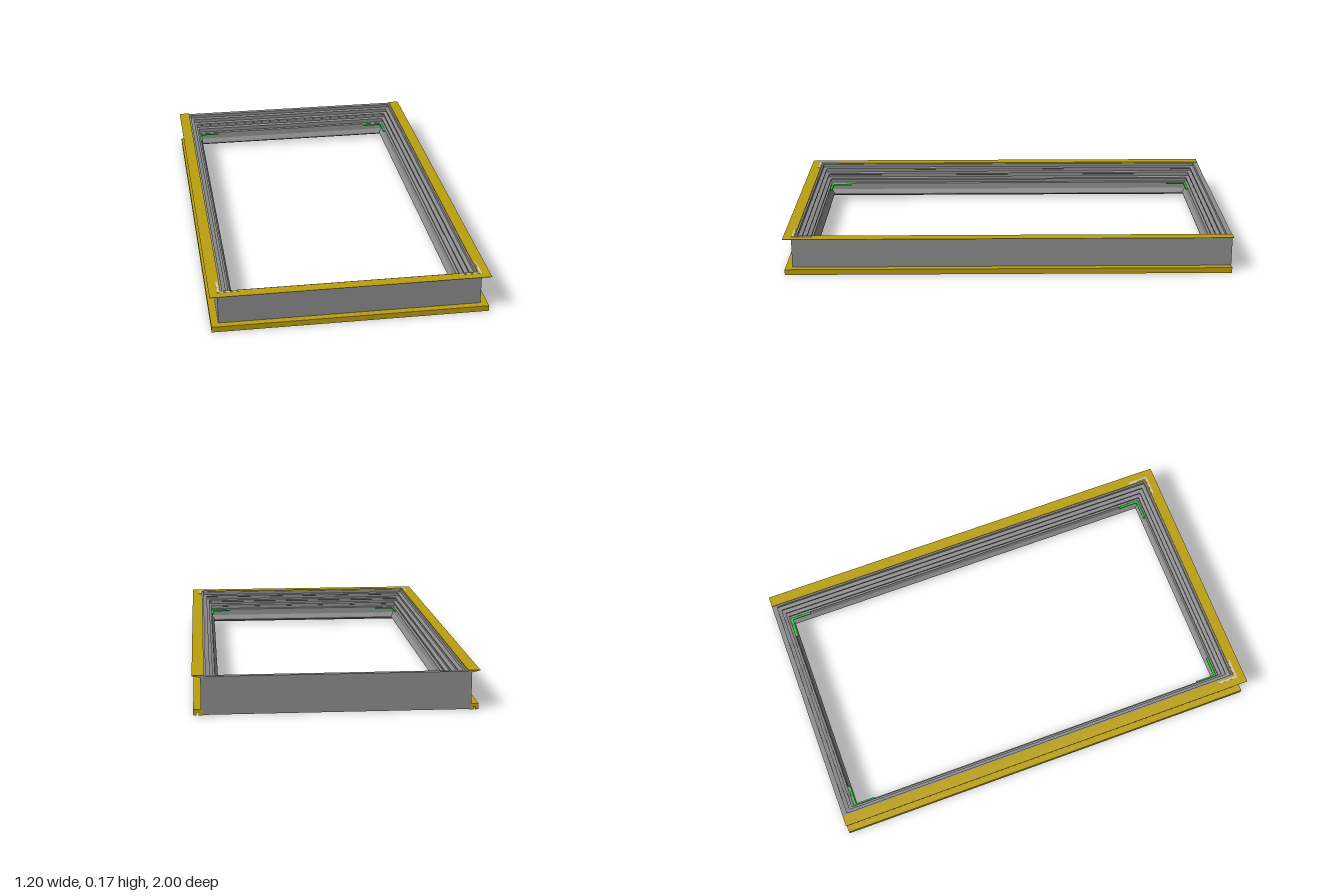
import * as THREE from 'three';

const HALF_W = 0.6, FRONT = 1, BACK = -1;
const mat = (color) => new THREE.MeshStandardMaterial({ color, side: THREE.DoubleSide, flatShading: true });

// Sweep a cross-section of [inset, height] points round the mitred frame.
// A closed sweep makes four bars; an open one leaves out the back bar and cuts the ends square.
function sweep(profile, closed) {
  const corners = [
    [-1, 0], [-1, 1], [1, 1], [1, 0],
  ].map(([sx, front]) => profile.map(([d, y]) => new THREE.Vector3(
    sx * (HALF_W - d), y, front ? FRONT - d : closed ? BACK - 0.035 + d : BACK)));
  const pos = [];
  const tri = (a, b, c) => pos.push(...a.toArray(), ...b.toArray(), ...c.toArray());
  const n = profile.length;
  for (let k = 0; k < (closed ? 4 : 3); k++) {
    const A = corners[k], B = corners[(k + 1) % 4];
    for (let i = 0; i < n; i++) {
      const j = (i + 1) % n;
      tri(A[i], B[j], B[i]);
      tri(A[i], A[j], B[j]);
    }
  }
  if (!closed) {
    const faces = THREE.ShapeUtils.triangulateShape(profile.map(([d, y]) => new THREE.Vector2(d, y)), []);
    for (const [a, b, c] of faces) {
      tri(corners[0][a], corners[0][c], corners[0][b]);
      tri(corners[3][a], corners[3][b], corners[3][c]);
    }
  }
  const geo = new THREE.BufferGeometry();
  geo.setAttribute('position', new THREE.Float32BufferAttribute(pos, 3));
  geo.computeVertexNormals();
  return geo;
}

export function createModel() {
  const group = new THREE.Group();
  const grey = mat(0x8e8e8e), yellow = mat(0xbba010), green = mat(0x22cc33), light = mat(0xcccccc);
  const add = (name, geo, material, parent = group) => {
    const mesh = new THREE.Mesh(geo, material);
    mesh.name = name;
    parent.add(mesh);
    return mesh;
  };

  // Main frame: flat outside, ribbed steps and a sloping lip inside
  add('frame', sweep([
    [0.035, 0.002], [0.05, 0.002], [0.055, 0.008], [0.092, 0.008], [0.1, 0.012],
    [0.114, 0.02], [0.114, 0.026], [0.102, 0.045], [0.1, 0.075],
    [0.09, 0.078], [0.09, 0.09], [0.098, 0.092], [0.098, 0.1],
    [0.082, 0.104], [0.082, 0.115], [0.088, 0.118], [0.088, 0.125],
    [0.07, 0.128], [0.07, 0.14], [0.075, 0.142], [0.075, 0.147],
    [0.058, 0.15], [0.058, 0.165], [0.035, 0.165],
  ], true), grey);

  // Tapered top flange on the front and both sides
  add('topFlange', sweep([[0, 0.167], [0.035, 0.16], [0.05, 0.16], [0.05, 0.169], [0, 0.169]], false), yellow);

  // Bottom flange with a narrow groove in its underside
  add('bottomFlange', sweep([
    [0.004, 0], [0.018, 0], [0.018, 0.012], [0.026, 0.012], [0.026, 0],
    [0.044, 0], [0.044, 0.025], [0.004, 0.025],
  ], false), yellow);

  // L-shaped corner angles: long and short legs meeting at (x, z)
  const angle = (name, sx, sz, x, z, y, leg, t, h, material) => {
    const g = new THREE.Group();
    g.name = name;
    add('sideLeg', new THREE.BoxGeometry(t, h, leg), material, g)
      .position.set(sx * (x - t / 2), y, z - sz * leg / 2);
    add('crossLeg', new THREE.BoxGeometry(leg - t, h, t), material, g)
      .position.set(sx * (x - t - (leg - t) / 2), y, z - sz * t / 2);
    group.add(g);
  };
  for (const sx of [-1, 1]) {
    const side = sx > 0 ? 'Left' : 'Right';
    angle(`frontCornerPlate${side}`, sx, 1, 0.565, 0.963, 0.1665, 0.095, 0.008, 0.007, light);
    angle(`frontCornerKey${side}`, sx, 1, 0.5, 0.898, 0.07, 0.1, 0.01, 0.006, green);
    angle(`backCornerKey${side}`, sx, -1, 0.5, -0.935, 0.07, 0.1, 0.01, 0.006, green);
  }
  return group;
}
